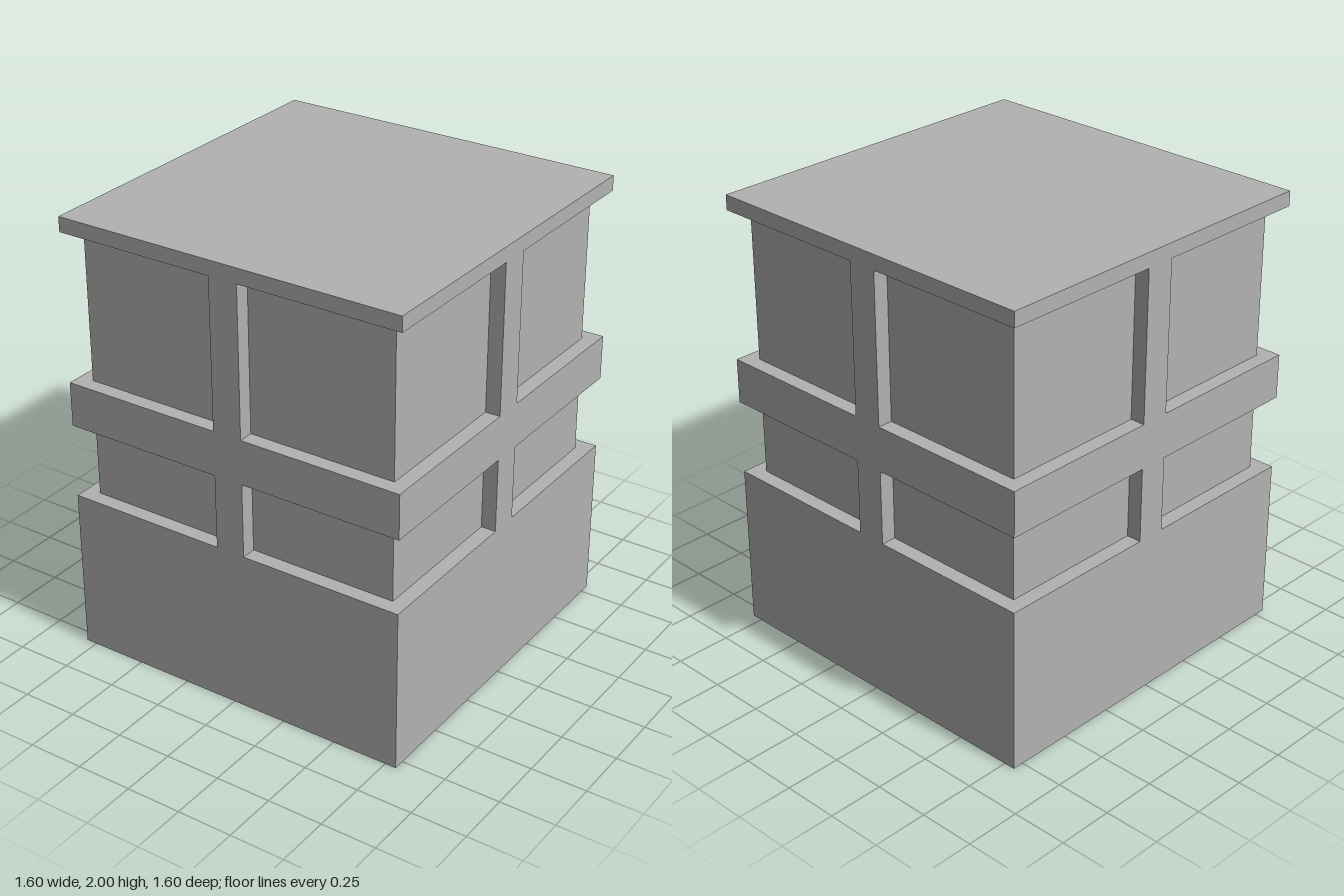
import * as THREE from 'three';

export function createModel() {
  const model = new THREE.Group();
  model.name = 'blockTower';

  const grey = new THREE.MeshStandardMaterial({ color: 0xb2b2b2 });
  grey.name = 'plain grey';

  const U = 1 / 15;       // building module
  const OUTER = 12 * U;   // half width of slabs
  const INNER = 11 * U;   // half width of recessed walls

  // Box standing between two heights
  function block(name, width, depth, y0, y1, parent = model) {
    const mesh = new THREE.Mesh(new THREE.BoxGeometry(width, y1 - y0, depth), grey);
    mesh.name = name;
    mesh.position.y = (y0 + y1) / 2;
    parent.add(mesh);
    return mesh;
  }

  // Full-width slabs
  block('base', 2 * OUTER, 2 * OUTER, 0, 11 * U);
  block('middleBand', 2 * OUTER, 2 * OUTER, 16 * U, 19 * U);
  block('roofSlab', 2 * OUTER, 2 * OUTER, 29 * U, 2);

  // Recessed storeys with a central rib on each of the four sides
  const storeys = [
    ['lower', 11 * U, 16 * U],
    ['upper', 19 * U, 29 * U],
  ];
  for (const [level, y0, y1] of storeys) {
    block(level + 'Walls', 2 * INNER, 2 * INNER, y0, y1);
    ['front', 'left', 'back', 'right'].forEach((side, i) => {
      const arm = new THREE.Group();
      arm.name = `${level}${side[0].toUpperCase()}${side.slice(1)}Rib`;
      arm.rotation.y = (i * Math.PI) / 2;
      block('rib', 2 * U, OUTER - INNER, y0, y1, arm).position.z = (OUTER + INNER) / 2;
      model.add(arm);
    });
  }

  return model;
}
